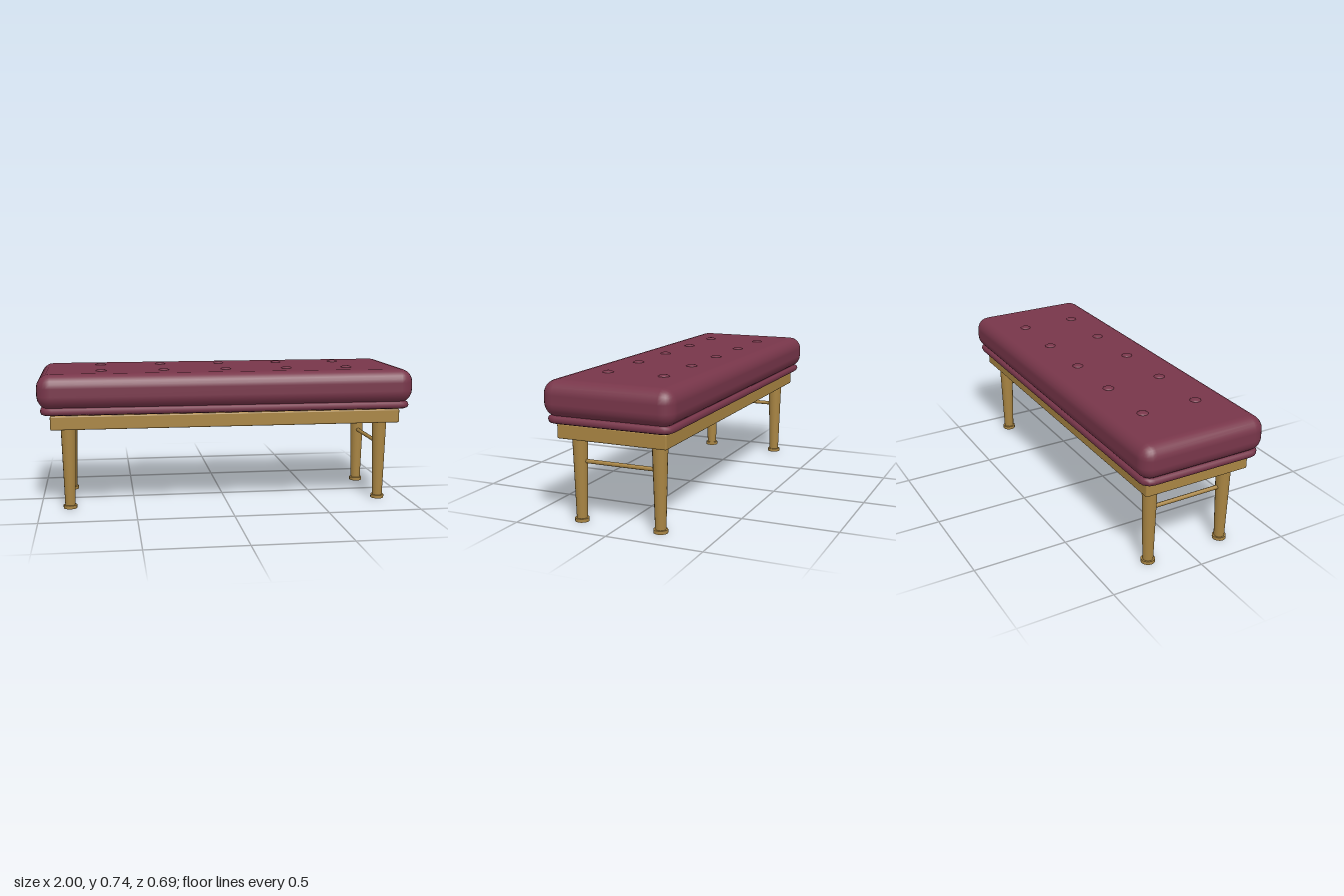
import * as THREE from 'three';
import { RoundedBoxGeometry } from 'three/addons/geometries/RoundedBoxGeometry.js';

export function createModel() {
  const group = new THREE.Group();
  const fabric = new THREE.MeshStandardMaterial({ color: 0x78364a });
  fabric.name = 'burgundy fabric';
  const wood = new THREE.MeshStandardMaterial({ color: 0xa98543 });
  wood.name = 'oak wood';

  const add = (name, geometry, material, x, y, z) => {
    const mesh = new THREE.Mesh(geometry, material);
    mesh.name = name;
    mesh.position.set(x, y, z);
    group.add(mesh);
    return mesh;
  };

  // Upholstered seat
  add('cushion', new RoundedBoxGeometry(2, 0.182, 0.692, 3, 0.07), fabric, 0, 0.634, 0);

  // Piping: a thin tube around the cushion's lower edge
  const hx = 0.965, hz = 0.312, r = 0.04;
  const path = new THREE.CurvePath();
  const v = (x, z) => new THREE.Vector3(x, 0, z);
  const corners = [[1, 1], [1, -1], [-1, -1], [-1, 1]];
  corners.forEach(([sx, sz], i) => {
    const [nx, nz] = corners[(i + 1) % 4];
    const alongZ = sx === nx;
    const c = v(sx * hx, sz * hz);
    const inn = alongZ ? v(sx * (hx - r), sz * hz) : v(sx * hx, sz * (hz - r));
    const out = alongZ ? v(sx * hx, sz * (hz - r)) : v(sx * (hx - r), sz * hz);
    const next = alongZ ? v(nx * hx, nz * (hz - r)) : v(nx * (hx - r), nz * hz);
    path.add(new THREE.QuadraticBezierCurve3(inn, c, out));
    path.add(new THREE.LineCurve3(out, next));
  });
  add('piping', new THREE.TubeGeometry(path, 240, 0.02, 8, true), fabric, 0, 0.533, 0);

  // Two rows of tufting buttons
  const button = new THREE.SphereGeometry(0.03, 12, 8).scale(1, 0.4, 1);
  for (const z of [-0.153, 0.153]) {
    for (let i = -2; i <= 2; i++) add('button', button, fabric, i / 3, 0.723, z);
  }

  // Wooden seat frame
  add('seatFrame', new RoundedBoxGeometry(1.87, 0.075, 0.582, 2, 0.008), wood, 0, 0.4705, 0);

  // Tapered legs with feet, and a stretcher at each end
  const leg = new THREE.CylinderGeometry(0.039, 0.027, 0.425, 16);
  const foot = new THREE.CylinderGeometry(0.036, 0.036, 0.018, 16);
  const stretcher = new THREE.CylinderGeometry(0.011, 0.011, 0.4, 8).rotateX(Math.PI / 2);
  for (const x of [-0.845, 0.845]) {
    for (const z of [-0.216, 0.216]) {
      add('leg', leg, wood, x, 0.2225, z);
      add('foot', foot, wood, x, 0.009, z);
    }
    add('stretcher', stretcher, wood, x, 0.31, 0);
  }
  return group;
}
